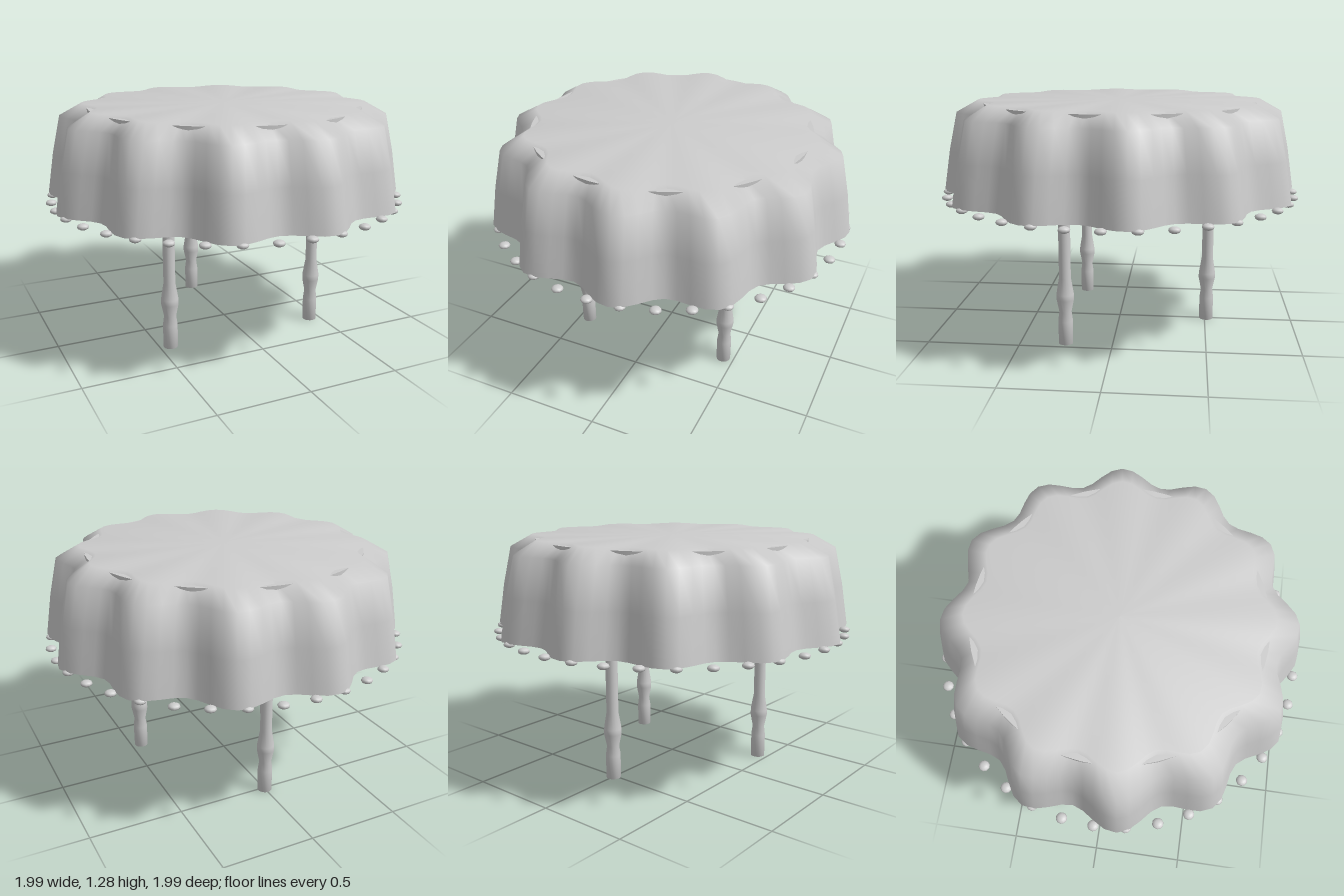
import * as THREE from 'three';

const LOBES = 12, SEGMENTS = 96, PHASE = THREE.MathUtils.degToRad(22.7);

// Scalloped surface of revolution: profile is a list of [mean radius, y], running outward and down
function scalloped(profile) {
  const pos = [], index = [];
  for (const [r, y] of profile) {
    for (let j = 0; j < SEGMENTS; j++) {
      const a = (j / SEGMENTS) * Math.PI * 2 + PHASE;
      const rr = r * (1 + 0.057 * Math.cos(LOBES * (a - PHASE)));
      pos.push(rr * Math.cos(a), y, rr * Math.sin(a));
    }
  }
  for (let i = 0; i < profile.length - 1; i++) {
    for (let j = 0; j < SEGMENTS; j++) {
      const k = (j + 1) % SEGMENTS;
      const a = i * SEGMENTS + j, c = i * SEGMENTS + k;
      const b = a + SEGMENTS, d = c + SEGMENTS;
      if (profile[i][0] > 0) index.push(a, c, b);
      index.push(c, d, b);
    }
  }
  const g = new THREE.BufferGeometry();
  g.setAttribute('position', new THREE.Float32BufferAttribute(pos, 3));
  g.setIndex(index);
  g.computeVertexNormals();
  return g;
}

export function createModel() {
  const group = new THREE.Group();
  const grey = new THREE.MeshStandardMaterial({ color: 0xcccccc });
  grey.name = 'light grey';

  const add = (name, geometry, parent = group) => {
    const mesh = new THREE.Mesh(geometry, grey);
    mesh.name = name;
    parent.add(mesh);
    return mesh;
  };

  // Draped cloth: outer face, hem and lining
  const cloth = new THREE.Group();
  cloth.name = 'tablecloth';
  group.add(cloth);
  add('clothOuter', scalloped([[0, 1.28], [0.74, 1.28], [0.86, 1.21], [0.905, 1.0], [0.94, 0.775]]), cloth);
  add('clothHem', scalloped([[0.94, 0.775], [0.927, 0.775]]), cloth);
  add('clothLining', scalloped([[0.927, 0.775], [0.892, 1.0], [0.847, 1.205], [0.735, 1.268]]), cloth);

  // Round board, its rim just showing in the folds
  add('tableTop', new THREE.CylinderGeometry(0.75, 0.75, 0.053, 64)).position.y = 1.2415;

  // Three turned legs
  const legProfile = [
    [0, 0], [0.039, 0], [0.04, 0.13], [0.033, 0.18], [0.047, 0.25], [0.047, 0.28],
    [0.032, 0.37], [0.032, 1.0], [0.048, 1.12], [0.048, 1.22],
  ].map(([r, y]) => new THREE.Vector2(r, y));
  const legGeometry = new THREE.LatheGeometry(legProfile, 16);
  for (let i = 0; i < 3; i++) {
    const a = Math.PI / 6 + (i * Math.PI * 2) / 3;
    add('leg', legGeometry).position.set(0.508 * Math.cos(a), 0, 0.508 * Math.sin(a));
  }

  // Ring of flattened beads around the hem
  const beads = new THREE.Group();
  beads.name = 'beadTrim';
  group.add(beads);
  const beadGeometry = new THREE.SphereGeometry(0.03, 10, 6).scale(1, 0.55, 1);
  for (let i = 0; i < 36; i++) {
    const a = (i * Math.PI) / 18;
    add('bead', beadGeometry, beads).position.set(0.966 * Math.cos(a), 0.768, 0.966 * Math.sin(a));
  }
  return group;
}
